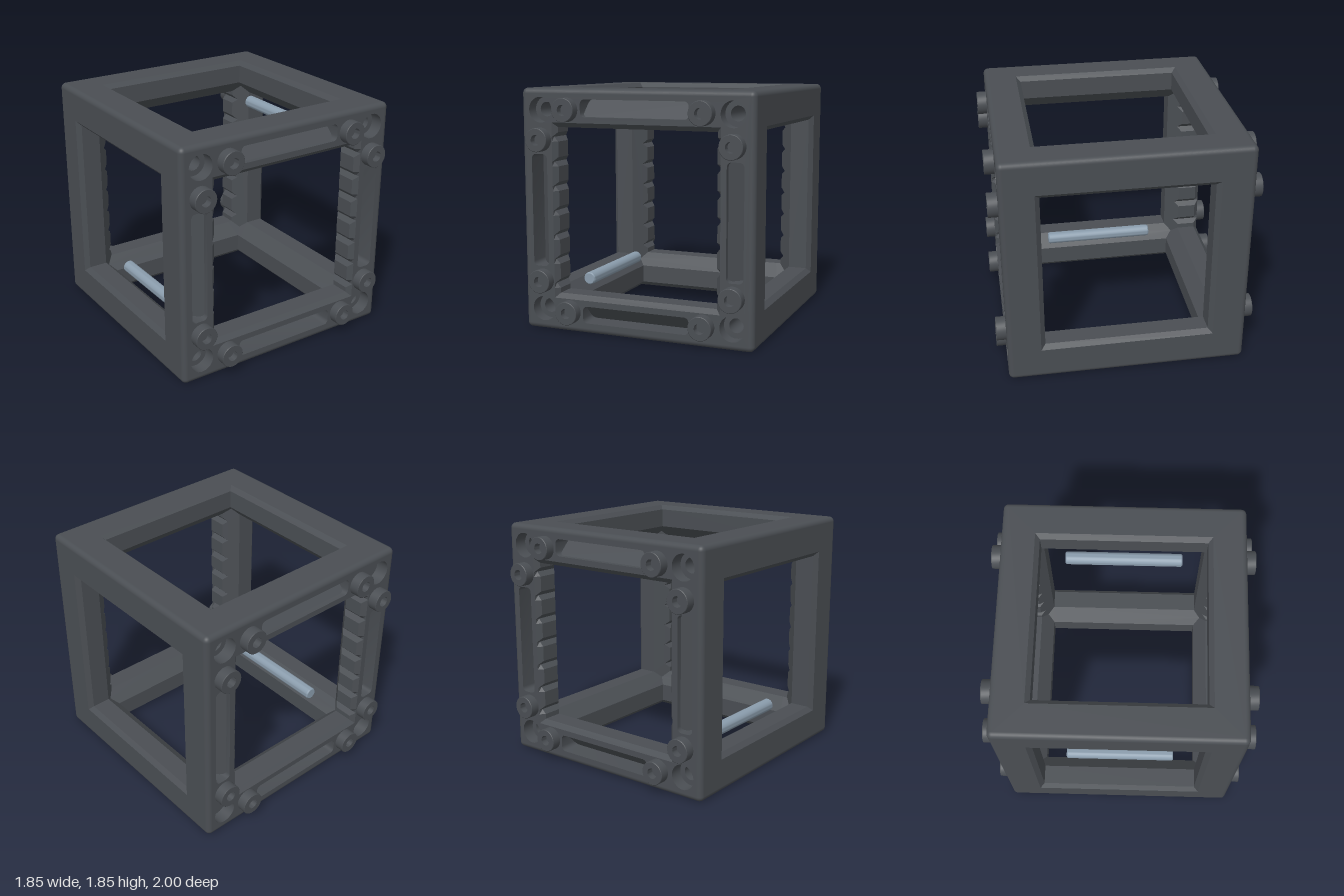
import * as THREE from 'three';
import { mergeGeometries, toCreasedNormals } from 'three/addons/utils/BufferGeometryUtils.js';
import { RoundedBoxGeometry } from 'three/addons/geometries/RoundedBoxGeometry.js';

const OUT = 0.925;    // half size of the cube
const IN = 0.635;     // half size of each opening
const LIP = 0.67;     // half size of the opening at its chamfered rim
const SUM = 1.375;    // inner bevels lie on |a| + |b| = SUM
const ROUND = 0.04;   // rounding of the outer edges
const H = Math.PI / 2;

const v2 = (pts) => pts.map(([x, y]) => new THREE.Vector2(x, y));
const square = (h) => [[h, -h], [h, h], [-h, h], [-h, -h]];
const circle = (cx, cy, r, n = 32) => Array.from({ length: n }, (_, i) => {
  const a = (i / n) * Math.PI * 2;
  return [cx + r * Math.cos(a), cy + r * Math.sin(a)];
});
const quarter = (pts, k) => {
  for (let i = 0; i < k; i++) pts = pts.map(([x, y]) => [-y, x]);
  return pts;
};
const at = (pts, z) => pts.map(([x, y]) => [x, y, typeof z === 'function' ? z(x, y) : z]);

// Walls between matching closed loops, facing the inside of the loop
function walls(loops) {
  const pos = [];
  for (let k = 0; k + 1 < loops.length; k++) {
    const a = loops[k], b = loops[k + 1], n = a.length;
    for (let i = 0; i < n; i++) {
      const j = (i + 1) % n;
      pos.push(...a[i], ...a[j], ...b[i], ...a[j], ...b[j], ...b[i]);
    }
  }
  const g = new THREE.BufferGeometry();
  g.setAttribute('position', new THREE.Float32BufferAttribute(pos, 3));
  return toCreasedNormals(g, 0.6);
}

// Sheet from an outline and holes, its z set by a rule
function sheet(outline, holes, z) {
  const shape = new THREE.Shape(v2(outline));
  shape.holes = holes.map((h) => new THREE.Path(v2(h)));
  const g = new THREE.ShapeGeometry(shape).toNonIndexed();
  const p = g.attributes.position;
  for (let i = 0; i < p.count; i++) p.setZ(i, z(p.getX(i), p.getY(i)));
  g.deleteAttribute('uv');
  g.computeVertexNormals();
  return g;
}

// Points up the right edge of the toothed opening
function toothedEdge(h, tip) {
  const pts = [[h, -h]];
  for (let k = -3; k <= 3; k++) {
    const y = k * 0.187;
    pts.push([h, y - 0.035], [tip, y], [h, y + 0.035]);
  }
  return [...pts, [h, h]];
}
const toothedLoop = (h, tip) => {
  const right = toothedEdge(h, tip);
  return [...right, ...right.map(([x, y]) => [-x, -y])];
};

function slotOutline() {
  const x = 0.43, y0 = 0.715, y1 = 0.845, r = 0.035, pts = [];
  [[x - r, y0 + r, -1], [x - r, y1 - r, 0], [r - x, y1 - r, 1], [r - x, y0 + r, 2]].forEach(([cx, cy, q]) => {
    for (let i = 0; i <= 4; i++) {
      const a = (q + i / 4) * H;
      pts.push([cx + r * Math.cos(a), cy + r * Math.sin(a)]);
    }
  });
  return pts;
}

// Rounded edges and corners only: the flat sides of the box are dropped
function roundedEdges() {
  const box = new RoundedBoxGeometry(2 * OUT, 2 * OUT, 2 * OUT, 4, ROUND);
  const src = box.index ? box.toNonIndexed() : box;
  const p = src.attributes.position.array, n = src.attributes.normal.array;
  const pos = [], nor = [];
  for (let i = 0; i < p.length; i += 9) {
    const flat = [0, 1, 2].some((c) => [0, 3, 6].every((o) => Math.abs(Math.abs(p[i + o + c]) - OUT) < 1e-5));
    if (flat) continue;
    pos.push(...p.slice(i, i + 9));
    nor.push(...n.slice(i, i + 9));
  }
  const g = new THREE.BufferGeometry();
  g.setAttribute('position', new THREE.Float32BufferAttribute(pos, 3));
  g.setAttribute('normal', new THREE.Float32BufferAttribute(nor, 3));
  return g;
}

// Plain side: chamfered square opening
function plainSide() {
  return mergeGeometries([
    sheet(square(OUT - ROUND), [square(LIP)], () => OUT),
    walls([at(square(LIP), OUT), at(square(IN), OUT - 0.035), at(square(IN), SUM - IN)]),
  ]);
}

// Joining side: toothed opening, sloped slots and counterbored corner holes
function joiningSide() {
  const slot = slotOutline();
  const floor = (x, y) => OUT - 0.04 - (y - 0.715);
  const holes = [toothedLoop(LIP, LIP)], parts = [];
  for (let k = 0; k < 4; k++) {
    holes.push(quarter(slot, k), quarter(circle(0.763, 0.763, 0.096), k));
    const wide = circle(0.763, 0.763, 0.096), narrow = circle(0.763, 0.763, 0.055);
    parts.push(...[
      walls([at(slot, OUT), at(slot, floor)]),
      sheet(slot, [], floor),
      walls([at(wide, OUT), at(wide, OUT - 0.1), at(narrow, OUT - 0.1), at(narrow, 0)]),
    ].map((g) => g.rotateZ(k * H)));
  }
  parts.push(
    sheet(square(OUT - ROUND), holes, () => OUT),
    walls([
      at(toothedLoop(LIP, LIP), OUT),
      at(toothedLoop(IN, LIP), OUT - 0.035),
      at(toothedLoop(IN, LIP), (x) => SUM - Math.abs(x)),
    ]),
  );
  return mergeGeometries(parts);
}

// Inner bevel of the upright beam at +x, -z, with pointed ends at the corners
function bevel(tip) {
  const m = SUM / 2, t = SUM - IN;
  const outline = [...toothedEdge(IN, tip).reverse(), [m, -m], [t, -IN], [t, IN], [m, m]];
  return sheet(outline, [], (x) => x - SUM);
}

export function createModel() {
  const group = new THREE.Group();
  const dark = new THREE.MeshStandardMaterial({ color: 0x4a4e53 });
  const steel = new THREE.MeshStandardMaterial({ color: 0x8a9cac });
  const add = (name, geo, mat = dark) => {
    const mesh = new THREE.Mesh(geo, mat);
    mesh.name = name;
    mesh.position.y = OUT;
    group.add(mesh);
    return mesh;
  };

  add('roundedEdges', roundedEdges());
  add('frontSide', joiningSide());
  add('backSide', joiningSide().rotateY(Math.PI));
  add('leftSide', plainSide().rotateY(H));
  add('rightSide', plainSide().rotateY(-H));
  add('topSide', plainSide().rotateX(-H));
  add('bottomSide', plainSide().rotateX(H));

  // Inner bevels of the twelve beams
  const bevels = [];
  for (const a of [0, Math.PI]) {
    for (const b of [0, Math.PI]) {
      bevels.push(
        bevel(LIP).rotateZ(a).rotateY(b),
        bevel(IN).rotateZ(H).rotateX(a).rotateY(b),
        bevel(IN).rotateX(H).rotateZ(a).rotateY(b),
      );
    }
  }
  // The beams along x need both heights at both depths
  add('innerBevels', mergeGeometries(bevels));

  // Hollow round studs, two beside each corner hole
  const profile = v2([[0, 0.02], [0.04, 0.02], [0.04, 0.075], [0.086, 0.075], [0.09, 0.071], [0.09, -0.01]]);
  const stud = toCreasedNormals(new THREE.LatheGeometry(profile.reverse(), 32), 0.6).rotateX(H);
  for (const sz of [1, -1]) for (const sx of [1, -1]) for (const sy of [1, -1]) {
    for (const [x, y] of [[0.767, 0.54], [0.54, 0.767]]) {
      const mesh = add('stud', stud);
      mesh.position.set(sx * x, OUT + sy * y, sz * OUT);
      if (sz < 0) mesh.rotation.y = Math.PI;
    }
  }

  // Two rods in opposite inner edges
  const rodProfile = v2([[0, -0.455], [0.042, -0.455], [0.05, -0.445], [0.05, 0.445], [0.042, 0.455], [0, 0.455]]);
  const rod = toCreasedNormals(new THREE.LatheGeometry(rodProfile, 32), 0.6).rotateX(H);
  for (const s of [1, -1]) add('rod', rod, steel).position.set(s * 0.62, OUT + s * 0.62, 0);

  return group;
}
